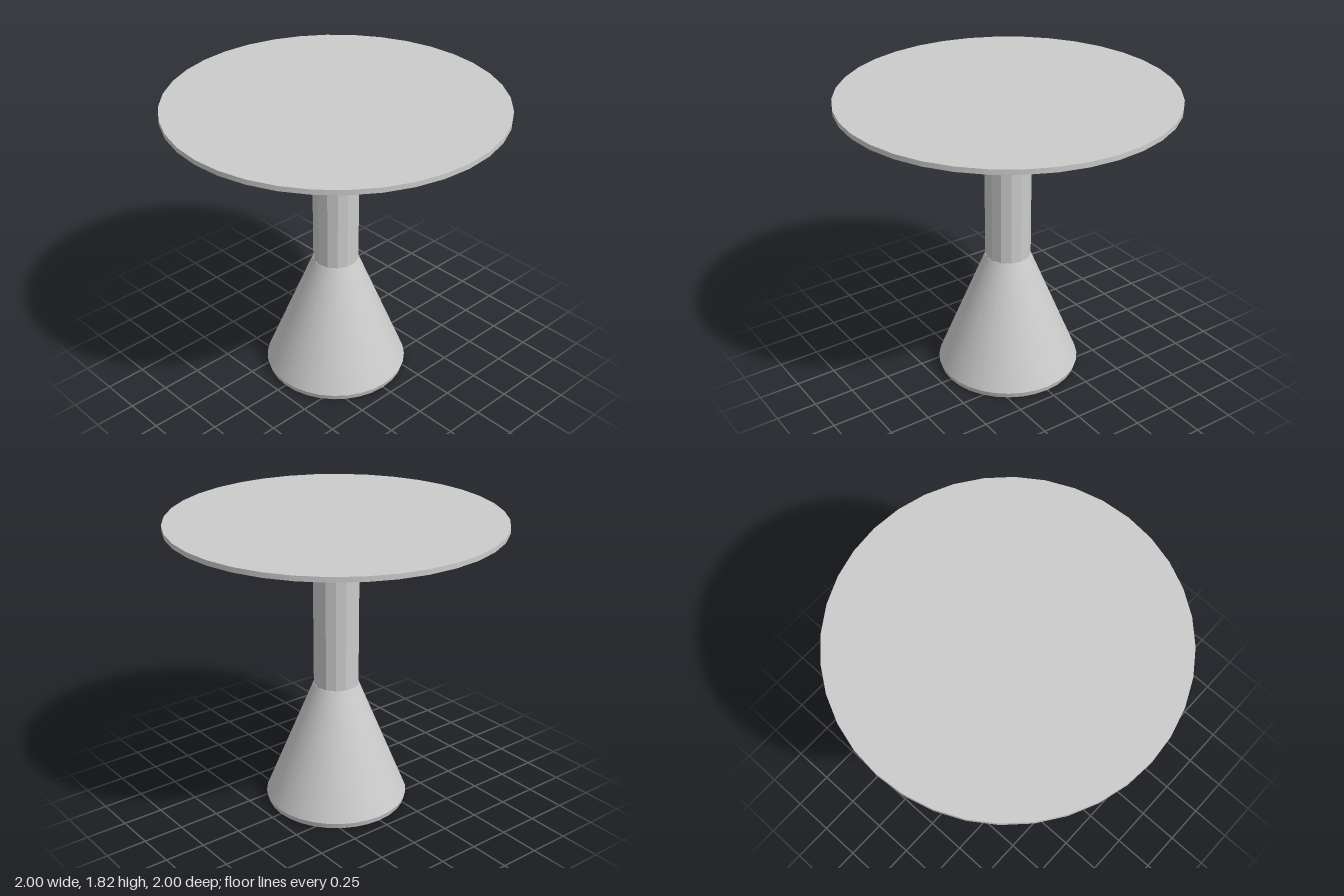
import * as THREE from 'three';

export function createModel() {
  const group = new THREE.Group();
  const add = (name, geometry, y, flatShading = false) => {
    const material = new THREE.MeshStandardMaterial({ color: 0xcccccc, flatShading });
    const mesh = new THREE.Mesh(geometry, material);
    mesh.name = name;
    mesh.position.y = y;
    group.add(mesh);
  };

  // Thin round top
  add('tabletop', new THREE.CylinderGeometry(1, 1, 0.03, 36), 1.805);

  // Faceted column between base and top
  add('column', new THREE.CylinderGeometry(0.14, 0.14, 1.03, 14), 1.285, true);

  // Conical foot with a slightly tucked-in lower edge
  add('baseCone', new THREE.CylinderGeometry(0.14, 0.443, 0.745, 32), 0.4075);
  add('baseRim', new THREE.CylinderGeometry(0.443, 0.433, 0.035, 32), 0.0175);

  return group;
}
